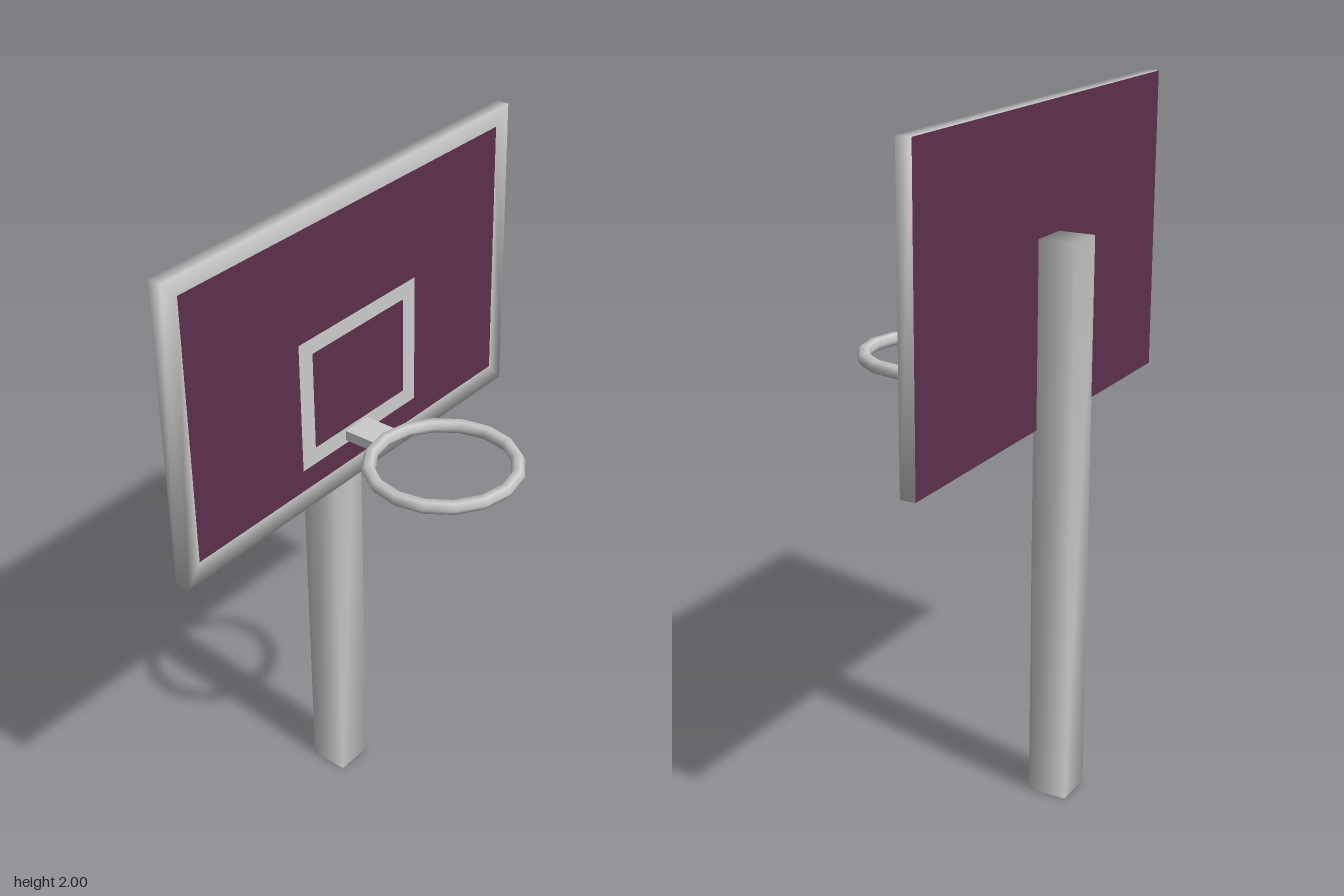
import * as THREE from 'three';
import { mergeVertices } from 'three/addons/utils/BufferGeometryUtils.js';

const BACK = -0.235, FRONT = -0.19;
const OUTER = [-0.697, 1.112, 0.697, 2];
const PANEL = [-0.648, 1.175, 0.64, 1.95];
const TARGET = [-0.23, 1.24, 0.264, 1.63];
const TARGET_INNER = [-0.176, 1.29, 0.212, 1.583];

const grey = new THREE.MeshStandardMaterial({ color: 0xcccccc });
const plum = new THREE.MeshStandardMaterial({ color: 0x5c304a });

function rectPoints([x0, y0, x1, y1]) {
  return [[x0, y0], [x1, y0], [x1, y1], [x0, y1]].map(([x, y]) => new THREE.Vector2(x, y));
}

// Upright slab between two rectangles, flush with the front of the board
function slab(outer, inner) {
  const shape = new THREE.Shape(rectPoints(outer));
  if (inner) shape.holes.push(new THREE.Path(rectPoints(inner).reverse()));
  const depth = FRONT - BACK - 0.001;
  return new THREE.ExtrudeGeometry(shape, { depth, bevelEnabled: false }).translate(0, 0, FRONT - depth);
}

// Softly shaded box: corners share one averaged normal
function softBox(w, h, d) {
  const box = new THREE.BoxGeometry(w, h, d);
  box.deleteAttribute('normal');
  box.deleteAttribute('uv');
  const soft = mergeVertices(box);
  soft.computeVertexNormals();
  return soft;
}

// Turn the normals at the outer corners diagonally outward
function softenRim(geometry) {
  const p = geometry.attributes.position, n = geometry.attributes.normal;
  const v = new THREE.Vector3();
  const midZ = (BACK + FRONT) / 2, midY = (OUTER[1] + OUTER[3]) / 2;
  for (let i = 0; i < p.count; i++) {
    if (Math.abs(p.getX(i)) < OUTER[2] - 0.001) continue;
    v.set(Math.sign(p.getX(i)), Math.sign(p.getY(i) - midY), Math.sign(p.getZ(i) - midZ)).normalize();
    n.setXYZ(i, v.x, v.y, v.z);
  }
  return geometry;
}

export function createModel() {
  const model = new THREE.Group();
  model.name = 'basketballHoop';
  const add = (parent, name, geometry, material, x = 0, y = 0, z = 0) => {
    const mesh = new THREE.Mesh(geometry, material);
    mesh.name = name;
    mesh.position.set(x, y, z);
    parent.add(mesh);
    return mesh;
  };

  // Square post behind the board
  add(model, 'post', softBox(0.12, 1.643, 0.117), grey, -0.002, 0.8215, -0.2835);

  // Backboard: flush border, panel, target outline and target centre
  const board = new THREE.Group();
  board.name = 'backboard';
  model.add(board);
  add(board, 'border', softenRim(slab(OUTER, PANEL)), grey);
  add(board, 'panel', slab(PANEL, TARGET), plum);
  add(board, 'targetOutline', slab(TARGET, TARGET_INNER), grey);
  add(board, 'targetCentre', slab(TARGET_INNER), plum);

  // Coloured rear face
  const rear = new THREE.PlaneGeometry(OUTER[2] - OUTER[0], OUTER[3] - OUTER[1]).rotateY(Math.PI);
  add(board, 'rearFace', rear, plum, 0, (OUTER[1] + OUTER[3]) / 2, BACK);

  // Bracket and rim
  add(model, 'bracket', new THREE.BoxGeometry(0.094, 0.03, 0.105), grey, 0, 1.265, -0.1425);
  const rim = new THREE.TorusGeometry(0.206, 0.02, 6, 16).rotateX(Math.PI / 2);
  add(model, 'rim', rim, grey, 0, 1.265, 0.115);

  return model;
}
